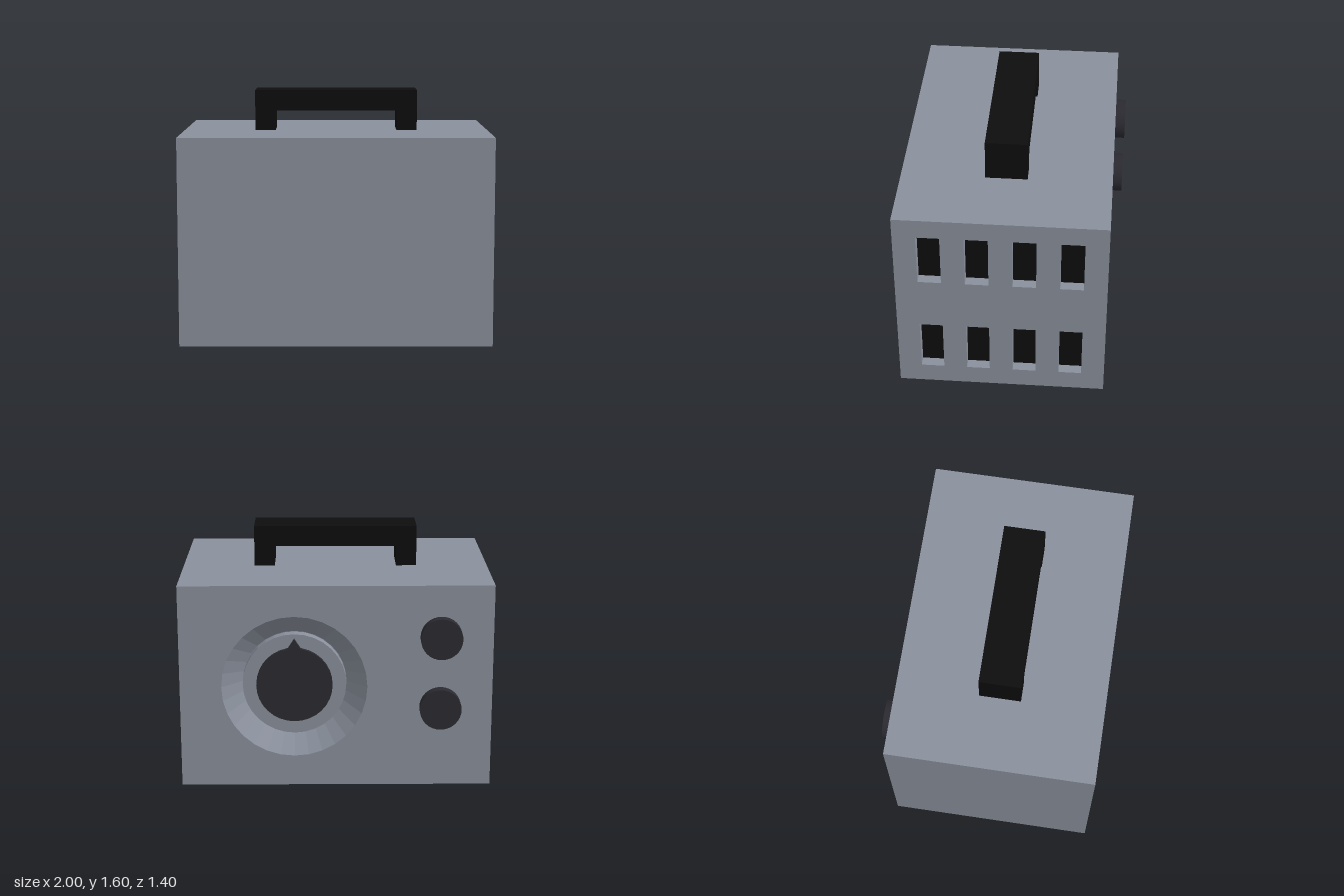
import * as THREE from 'three';

const H = 1.335, BACK = -0.633, FRONT = 0.7, DEPTH = FRONT - BACK, MID = (FRONT + BACK) / 2;

export function createModel() {
  const model = new THREE.Group();
  model.name = 'heaterBox';

  const mat = (name, color) => {
    const m = new THREE.MeshStandardMaterial({ color });
    m.name = name;
    return m;
  };
  const casing = mat('casingGrey', 0x8a909c);
  const black = mat('black', 0x0d0d0d);
  const dark = mat('knobCharcoal', 0x2b2a31);

  const add = (parent, name, geometry, material, x = 0, y = 0, z = 0) => {
    const mesh = new THREE.Mesh(geometry, material);
    mesh.name = name;
    mesh.position.set(x, y, z);
    parent.add(mesh);
    return mesh;
  };
  const plane = (w, h, rx = 0, ry = 0) => new THREE.PlaneGeometry(w, h).rotateX(rx).rotateY(ry);
  const rectangle = (S, x, y, w, h) => new S()
    .moveTo(x - w / 2, y - h / 2).lineTo(x + w / 2, y - h / 2)
    .lineTo(x + w / 2, y + h / 2).lineTo(x - w / 2, y + h / 2).closePath();
  const flat = (g) => {
    const out = g.toNonIndexed();
    out.computeVertexNormals();
    return out;
  };

  // Casing: plain faces
  const body = new THREE.Group();
  body.name = 'casing';
  model.add(body);
  add(body, 'frontPanel', plane(2, H), casing, 0, H / 2, FRONT);
  add(body, 'rightPanel', plane(DEPTH, H, 0, -Math.PI / 2), casing, -1, H / 2, MID);
  add(body, 'topPanel', plane(2, DEPTH, -Math.PI / 2), casing, 0, H, MID);
  add(body, 'bottomPanel', plane(2, DEPTH, Math.PI / 2), casing, 0, 0, MID);

  // Vented side: shape x runs towards -z
  const side = rectangle(THREE.Shape, -MID, H / 2, DEPTH, H);
  const slotW = 0.148, slotH = 0.357, slotD = 0.067;
  for (const y of [0.312, 1.026]) {
    for (let i = 0; i < 4; i++) {
      const z = 0.481 - i * 0.2975, x = 1 - slotD / 2;
      side.holes.push(rectangle(THREE.Path, -z, y, slotW, slotH));
      const vent = new THREE.Group();
      vent.name = 'ventSlot';
      body.add(vent);
      add(vent, 'slotBack', plane(slotW, slotH, 0, Math.PI / 2), black, 1 - slotD, y, z);
      add(vent, 'slotFloor', plane(slotD, slotW, -Math.PI / 2), casing, x, y - slotH / 2, z);
      add(vent, 'slotCeiling', plane(slotD, slotW, Math.PI / 2), casing, x, y + slotH / 2, z);
      add(vent, 'slotWallRear', plane(slotD, slotH), casing, x, y, z - slotW / 2);
      add(vent, 'slotWallFront', plane(slotD, slotH, 0, Math.PI), casing, x, y, z + slotW / 2);
    }
  }
  add(body, 'ventedPanel', new THREE.ShapeGeometry(side).rotateY(Math.PI / 2), casing, 1);

  // Back panel with a round opening for the dial
  const dialX = 0.267, dialY = 0.667, dialR = 0.467;
  const back = rectangle(THREE.Shape, 0, H / 2, 2, H);
  back.holes.push(new THREE.Path().absarc(-dialX, dialY, dialR, 0, Math.PI * 2));
  add(body, 'backPanel', new THREE.ShapeGeometry(back, 16).rotateY(Math.PI), casing, 0, 0, BACK);

  // Dial: sloping recess with a raised disc, then a thin knob and pointer
  const dial = new THREE.Group();
  dial.name = 'dial';
  dial.position.set(dialX, dialY, BACK);
  model.add(dial);
  const profile = [[dialR, 0], [0.336, -0.133], [0.333, -0.133], [0.333, -0.067], [0, -0.067]]
    .map(([r, y]) => new THREE.Vector2(r, y));
  add(dial, 'dialRecess', flat(new THREE.LatheGeometry(profile, 32).rotateX(-Math.PI / 2)), casing);
  const disc = (r, h) => new THREE.CylinderGeometry(r, r, h, 32).rotateX(Math.PI / 2);
  add(dial, 'dialKnob', disc(0.245, 0.027), dark, 0, 0, 0.0535);
  const tip = new THREE.Shape().moveTo(-0.055, 0.22).lineTo(0.055, 0.22).lineTo(0, 0.305).closePath();
  add(dial, 'dialPointer',
    new THREE.ExtrudeGeometry(tip, { depth: 0.027, bevelEnabled: false }), dark, 0, 0, 0.04);

  // Two small round knobs
  for (const y of [0.533, 1.0]) add(model, 'sideKnob', disc(0.133, 0.067), dark, -0.667, y, BACK - 0.0335);

  // Carrying handle
  const grip = new THREE.Shape();
  [[-0.533, H], [-0.4, H], [-0.4, 1.467], [0.4, 1.467], [0.4, H], [0.533, H], [0.533, 1.6], [-0.533, 1.6]]
    .forEach(([x, y], i) => (i ? grip.lineTo(x, y) : grip.moveTo(x, y)));
  add(model, 'handle',
    new THREE.ExtrudeGeometry(grip, { depth: 0.267, bevelEnabled: false }), black, 0, 0, -0.1);

  return model;
}
